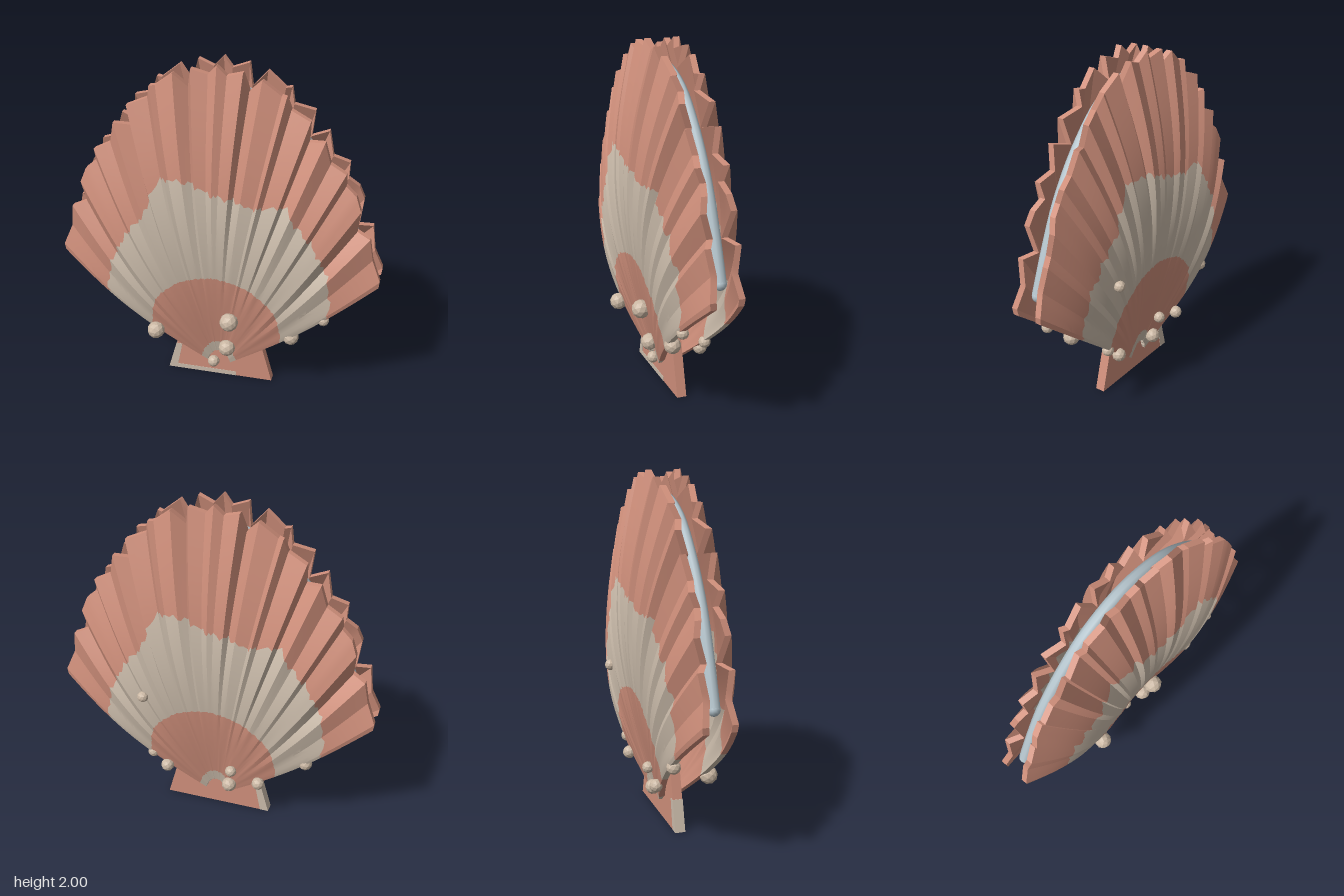
import * as THREE from 'three';
import { toCreasedNormals } from 'three/addons/utils/BufferGeometryUtils.js';

const material = (name, color, extra = {}) => {
  const m = new THREE.MeshStandardMaterial({ color, ...extra });
  m.name = name;
  return m;
};

const PIVOT = 0.05;      // height of the point the ribs fan out from
const THICK = 0.035;     // shell wall
const START = 0.075;     // where the fan begins, as a share of its radius
const SPREAD = 51;       // half angle of the fan in degrees

// Right half of the scalloped rim: x, y, groove depth (0 ridge, 1 groove)
const RIM = [
  [0, 2.0, 0], [0.05, 1.945, 0.4], [0.14, 1.975, 0], [0.165, 1.86, 1], [0.24, 1.94, 0.1],
  [0.34, 1.86, 0.5], [0.37, 1.86, 0.1], [0.39, 1.78, 0.9], [0.5, 1.74, 0], [0.49, 1.61, 1],
  [0.58, 1.63, 0], [0.61, 1.5, 0.7], [0.7, 1.46, 0.1], [0.7, 1.38, 0.8], [0.76, 1.33, 0.4],
  [0.79, 1.25, 0], [0.775, 1.11, 1], [0.85, 1.09, 0], [0.87, 0.95, 0.6], [0.92, 0.83, 0.1],
  [0.915, 0.79, 0.2],
];

// Radius of the colour borders against the fan angle
const INNER_BORDER = [[-51, 0.49], [-33, 0.635], [-17, 0.7], [0, 0.725], [17, 0.7], [33, 0.635], [51, 0.49]];
const OUTER_BORDER = [
  [-51, 0.83], [-40, 0.95], [-28, 1.07], [-20, 1.15], [-13, 1.35], [-5, 1.32], [0, 1.26],
  [5, 1.25], [10, 1.22], [18, 1.28], [22, 1.2], [30, 1.12], [40, 1.0], [51, 0.83],
];

function lookup(table, a) {
  let i = 1;
  while (i < table.length - 1 && table[i][0] < a) i++;
  const [[a0, v0], [a1, v1]] = [table[i - 1], table[i]];
  return THREE.MathUtils.lerp(v0, v1, THREE.MathUtils.clamp((a - a0) / (a1 - a0), 0, 1));
}

// Full rim, each facet cut into narrower columns for the ragged colour borders
function rimColumns(cuts) {
  const full = [...RIM.slice(1).reverse().map(([x, y, d]) => [-x, y, d]), ...RIM];
  const out = [];
  for (let i = 0; i < full.length - 1; i++) {
    for (let k = 0; k < cuts; k++) {
      out.push(full[i].map((v, j) => THREE.MathUtils.lerp(v, full[i + 1][j], k / cuts)));
    }
  }
  out.push(full[full.length - 1]);
  return out;
}

function valveGeometry() {
  const bandSteps = [1, 6, 7, 7];                // tip, umbo, pale band, rim band
  const bandColour = [1, 0, 1, 0];
  const rowColour = bandSteps.flatMap((n, b) => Array(n).fill(bandColour[b]));

  const columns = rimColumns(3).map(([x, y, d], c) => {
    const radius = Math.hypot(x, y - PIVOT);
    const angle = THREE.MathUtils.radToDeg(Math.atan2(x, y - PIVOT));
    const ragged = 0.012 * Math.sin(c * 2.3) + 0.008 * Math.sin(c * 5.1);
    const stops = [START, 0.115, (lookup(INNER_BORDER, angle) + ragged * 0.3) / radius,
      (lookup(OUTER_BORDER, angle) + ragged) / radius, 1];
    const ts = [START];
    bandSteps.forEach((n, b) => {
      for (let k = 1; k <= n; k++) ts.push(THREE.MathUtils.lerp(stops[b], stops[b + 1], k / n));
    });
    const dome = 1 - 0.5 * (angle / SPREAD) ** 2;
    const outer = ts.map((t) => [
      x * t,
      PIVOT + (y - PIVOT) * t,
      0.03 + 0.07 * t + 0.157 * dome * Math.sin(Math.PI * t ** 1.15) - 0.042 * d * t ** 1.4,
    ]);
    return { outer, inner: outer.map(([px, py, pz]) => [px, py, pz - THICK]) };
  });

  const faces = [[], []];
  const quad = (colour, a, b, c, d) => faces[colour].push(...a, ...b, ...c, ...a, ...c, ...d);
  const rows = rowColour.length;
  const last = columns.length - 1;
  for (let c = 0; c < last; c++) {
    const { outer: p, inner: pi } = columns[c];
    const { outer: q, inner: qi } = columns[c + 1];
    for (let r = 0; r < rows; r++) {
      quad(rowColour[r], p[r], q[r], q[r + 1], p[r + 1]);
      quad(rowColour[r], pi[r + 1], qi[r + 1], qi[r], pi[r]);
    }
    quad(0, p[rows], q[rows], qi[rows], pi[rows]);   // rim
    quad(1, pi[0], qi[0], q[0], p[0]);               // base
  }
  for (let r = 0; r < rows; r++) {                   // straight side edges
    const { outer: l, inner: li } = columns[0];
    const { outer: e, inner: ei } = columns[last];
    quad(rowColour[r], l[r], l[r + 1], li[r + 1], li[r]);
    quad(rowColour[r], ei[r], ei[r + 1], e[r + 1], e[r]);
  }

  let geo = new THREE.BufferGeometry();
  geo.setAttribute('position', new THREE.Float32BufferAttribute(faces.flat(), 3));
  geo = toCreasedNormals(geo, 0.3);
  geo.clearGroups();
  geo.addGroup(0, faces[0].length / 3, 0);
  geo.addGroup(faces[0].length / 3, faces[1].length / 3, 1);
  return geo;
}

// Flat polygon with a depth, centred on z
function slab(points, depth) {
  const shape = new THREE.Shape(points.map(([x, y]) => new THREE.Vector2(x, y)));
  return new THREE.ExtrudeGeometry(shape, { depth, bevelEnabled: false }).translate(0, 0, -depth / 2);
}

export function createModel() {
  const coral = material('coral', 0xcf8f7b);
  const cream = material('cream', 0xcbbcab);
  const barnacleStone = material('barnacleStone', 0xcbb8a4, { flatShading: true });
  const mantleBlue = material('mantleBlue', 0xb4c4cc);

  const model = new THREE.Group();
  model.name = 'scallopShell';
  const add = (name, geo, mat) => {
    const mesh = new THREE.Mesh(geo, mat);
    mesh.name = name;
    model.add(mesh);
    return mesh;
  };

  // Two valves, the back one turned half round
  const valve = valveGeometry();
  add('frontValve', valve, [coral, cream]);
  add('backValve', valve, [coral, cream]).rotation.y = Math.PI;

  // Soft lip between the valves
  const half = [[0.82, 0.885], [0.73, 1.12], [0.62, 1.36], [0.45, 1.6], [0.25, 1.78]];
  const path = [...half.map(([x, y]) => [-x, y]), [0, 1.855], ...half.slice().reverse()];
  const curve = new THREE.CatmullRomCurve3(path.map(([x, y]) => new THREE.Vector3(x, y, 0)));
  add('mantle', new THREE.TubeGeometry(curve, 48, 0.035, 10), mantleBlue);
  for (const s of [-1, 1]) {
    add('mantleEnd', new THREE.SphereGeometry(0.035, 12, 8), mantleBlue).position.set(s * 0.82, 0.885, 0);
  }

  // Hinge plate with a pale worn border on its right side
  add('hingePlate', slab([[-0.318, 0], [0.32, 0], [0.21, 0.405], [-0.208, 0.405]], 0.056), coral);
  add('hingeSideBorder', slab([[-0.321, 0], [-0.27, 0], [-0.235, 0.18], [-0.272, 0.18]], 0.06), cream);
  add('hingeFootBorder', slab([[-0.27, 0], [0.1, 0], [0.1, 0.028], [-0.265, 0.028]], 0.004), cream)
    .position.z = 0.028;

  // Barnacles: x, y, z, radius
  const barnacles = [
    [0.085, 0.475, 0.16, 0.055], [0.06, 0.25, 0.1, 0.05], [-0.035, 0.098, 0.045, 0.036],
    [-0.36, 0.345, 0.15, 0.052], [0.44, 0.395, 0.105, 0.048], [0.625, 0.55, 0.12, 0.034],
    [0.38, 0.355, -0.11, 0.035], [0.29, 0.28, -0.12, 0.04], [-0.555, 0.495, -0.12, 0.04],
    [-0.28, 0.285, -0.13, 0.038], [-0.11, 0.33, -0.125, 0.034], [-0.09, 0.2, -0.09, 0.044],
    [0.395, 0.81, -0.205, 0.033],
  ];
  const lump = new THREE.IcosahedronGeometry(1, 1);
  barnacles.forEach(([x, y, z, r], i) => {
    const b = add('barnacle', lump, barnacleStone);
    b.position.set(x, y, z);
    b.scale.setScalar(r);
    b.rotation.set(i, i * 1.7, 0);
  });
  return model;
}
